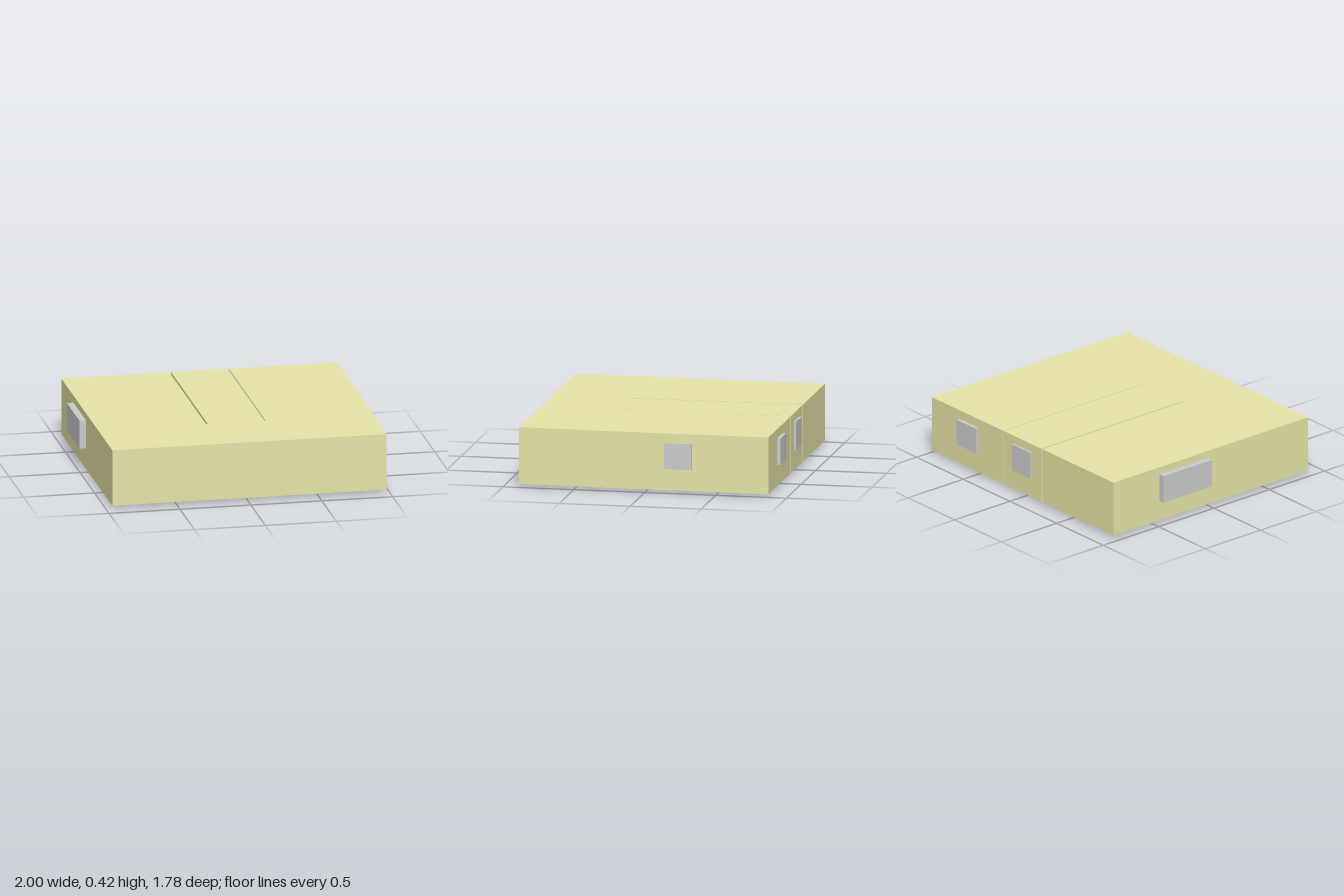
import * as THREE from 'three';

const wallMat = new THREE.MeshStandardMaterial({ color: 0xe6e4a7, side: THREE.DoubleSide });
const greyMat = new THREE.MeshStandardMaterial({ color: 0xcccccc, side: THREE.DoubleSide });

const FLOOR = 0.02, CEILING = 0.42;
const BACK = -0.87, SPLIT = 0.4, FRONT = 0.89;

// Box given by its min and max corners
function block(name, material, [x0, y0, z0], [x1, y1, z1]) {
  const mesh = new THREE.Mesh(new THREE.BoxGeometry(x1 - x0, y1 - y0, z1 - z0), material);
  mesh.position.set((x0 + x1) / 2, (y0 + y1) / 2, (z0 + z1) / 2);
  mesh.name = name;
  return mesh;
}

// Flat panel centred at a point, turned about x or y
function panel(name, material, width, height, [x, y, z], rx = 0, ry = 0) {
  const mesh = new THREE.Mesh(new THREE.PlaneGeometry(width, height), material);
  mesh.position.set(x, y, z);
  mesh.rotation.set(rx, ry, 0);
  mesh.name = name;
  return mesh;
}

// Front hall: thin shell whose floor stops short of the left end
function frontHall() {
  const hall = new THREE.Group();
  hall.name = 'frontHall';
  const x0 = -0.955, x1 = 0.98, floorEnd = 0.22;
  const w = x1 - x0, h = CEILING - FLOOR, d = FRONT - SPLIT;
  const cx = (x0 + x1) / 2, cy = (FLOOR + CEILING) / 2, cz = (SPLIT + FRONT) / 2;
  hall.add(
    panel('hallCeiling', wallMat, w, d, [cx, CEILING, cz], -Math.PI / 2),
    panel('hallFloor', wallMat, floorEnd - x0, d, [(x0 + floorEnd) / 2, FLOOR, cz], Math.PI / 2),
    panel('hallFrontWall', wallMat, w, h, [cx, cy, FRONT]),
    panel('hallLeftWall', wallMat, d, h, [x1, cy, cz], 0, Math.PI / 2),
    panel('hallRightWall', wallMat, d, h, [x0, cy, cz], 0, -Math.PI / 2)
  );
  return hall;
}

// Inner doorway: two thin jambs reaching below the floor, and a sill strip between
function doorway(x, z, length, alongZ) {
  const door = new THREE.Group();
  door.name = 'doorway';
  const depth = 0.07, top = 0.36;
  for (const side of [-1, 1]) {
    door.add(panel('jamb', greyMat, depth, top, [side * length / 2, top / 2, 0], 0, side * Math.PI / 2));
  }
  door.add(block('sill', greyMat, [-length / 2, 0.016, -0.006], [length / 2, 0.03, 0.006]));
  door.position.set(x, 0, z);
  if (alongZ) door.rotation.y = Math.PI / 2;
  return door;
}

export function createModel() {
  const model = new THREE.Group();
  model.name = 'houseLayout';
  model.add(frontHall());

  // Three back rooms with narrow gaps between them
  const rooms = [
    ['rightRoom', -0.955, -0.194],
    ['middleRoom', -0.182, 0.219],
    ['leftRoom', 0.225, 0.99]
  ];
  for (const [name, x0, x1] of rooms) {
    model.add(block(name, wallMat, [x0, FLOOR, BACK], [x1, CEILING, SPLIT]));
  }

  // Windows standing out of the outer walls
  model.add(
    block('middleRoomWindow', greyMat, [-0.08, 0.165, -0.885], [0.115, 0.36, -0.85]),
    block('leftRoomBackWindow', greyMat, [0.49, 0.17, -0.895], [0.695, 0.355, -0.85]),
    block('leftRoomSideWindow', greyMat, [0.97, 0.17, -0.33], [1.0, 0.352, -0.135]),
    block('rightRoomSideWindow', greyMat, [-1.0, 0.168, -0.455], [-0.93, 0.368, -0.015])
  );

  // Doorways: x, z, length, running along z
  const doors = [
    [0.215, -0.23, 0.19, true],
    [-0.185, -0.23, 0.19, true],
    [-0.185, 0.65, 0.18, true],
    [0.01, 0.402, 0.19, false],
    [-0.67, 0.402, 0.18, false],
    [0.335, -0.517, 0.15, false]
  ];
  for (const d of doors) model.add(doorway(...d));

  return model;
}
